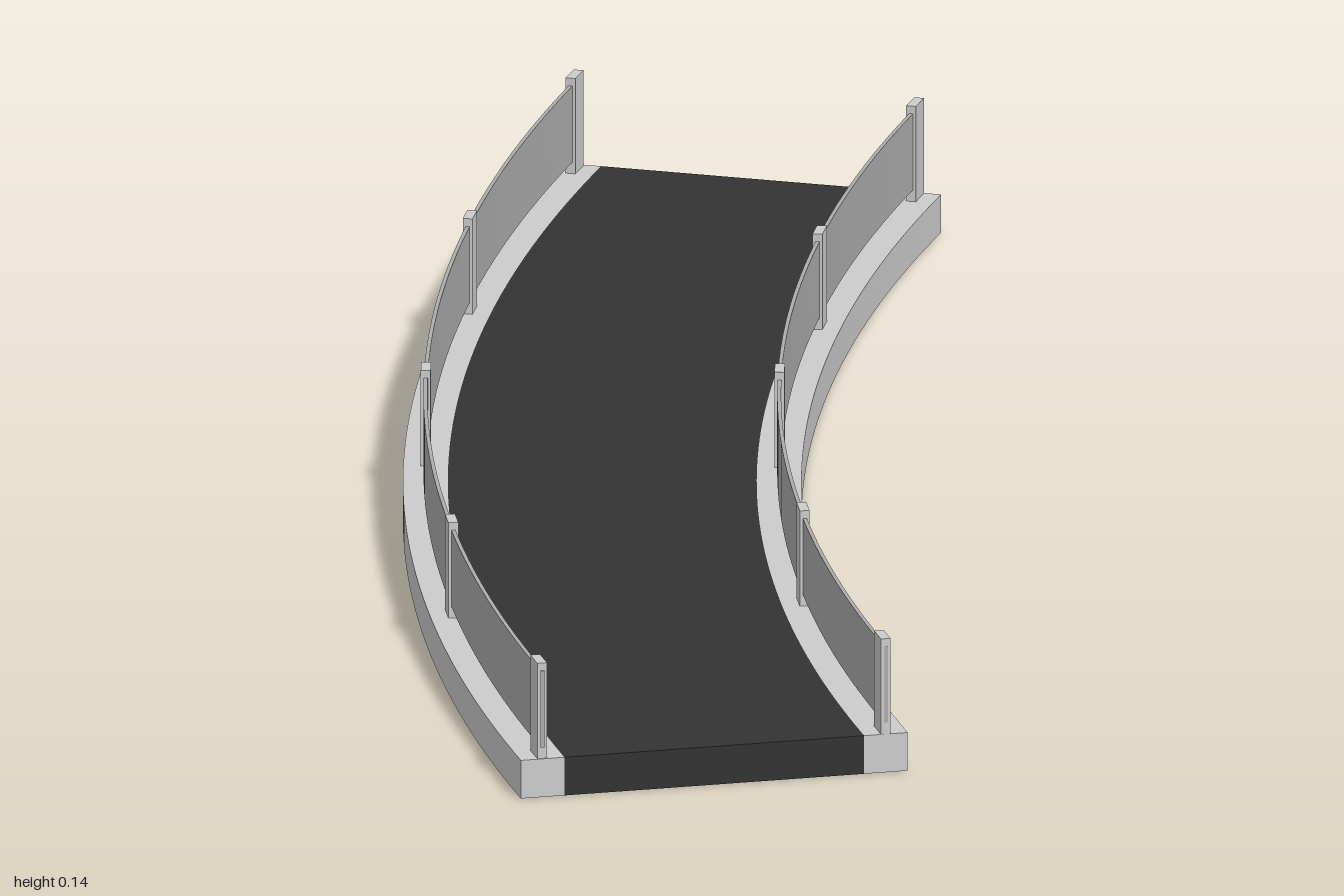
import * as THREE from 'three';
import { toCreasedNormals } from 'three/addons/utils/BufferGeometryUtils.js';

// The bridge sweeps 30 degrees about a centre far out on +x
const CX = 3.559, CZ = 1, SWEEP = Math.PI / 6;
const R_IN = 3.6, R_OUT = 4, CURB = 0.045, DECK = 0.04;

const grey = new THREE.MeshStandardMaterial({ color: 0xcccccc });
const railGrey = new THREE.MeshStandardMaterial({ color: 0xadadad });
const asphalt = new THREE.MeshStandardMaterial({ color: 0x333333 });

// Curved slab between two radii, from height y0 to y1
function arcSlab(name, r0, r1, y0, y1, material) {
  const shape = new THREE.Shape();
  shape.absarc(CX, -CZ, r1, Math.PI, Math.PI - SWEEP, true);
  shape.absarc(CX, -CZ, r0, Math.PI - SWEEP, Math.PI, false);
  const geo = new THREE.ExtrudeGeometry(shape, { depth: y1 - y0, bevelEnabled: false, curveSegments: 32 });
  geo.rotateX(-Math.PI / 2);
  geo.translate(0, y0, 0);
  const mesh = new THREE.Mesh(toCreasedNormals(geo, 0.5), material);
  mesh.name = name;
  return mesh;
}

export function createModel() {
  const model = new THREE.Group();
  model.name = 'curvedBridge';

  // Road deck
  model.add(arcSlab('road', R_IN + CURB, R_OUT - CURB, 0, DECK, asphalt));

  // Each side: curb, railing panel and five posts
  const postGeo = new THREE.BoxGeometry(0.01, 0.1, 0.03);
  for (const [side, r0] of [['inner', R_IN], ['outer', R_OUT - CURB]]) {
    const mid = r0 + CURB / 2;
    model.add(arcSlab(side + 'Curb', r0, r0 + CURB, 0, DECK, grey));
    model.add(arcSlab(side + 'Railing', mid - 0.002, mid + 0.002, 0.052, 0.132, railGrey));

    const posts = new THREE.Group();
    posts.name = side + 'Posts';
    for (const degrees of [0.24, 7.37, 14.97, 22.57, 29.74]) {
      const a = THREE.MathUtils.degToRad(degrees);
      const post = new THREE.Mesh(postGeo, grey);
      post.name = side + 'Post';
      post.position.set(CX - mid * Math.cos(a), DECK + 0.05, CZ - mid * Math.sin(a));
      post.rotation.y = -a;
      posts.add(post);
    }
    model.add(posts);
  }
  return model;
}
